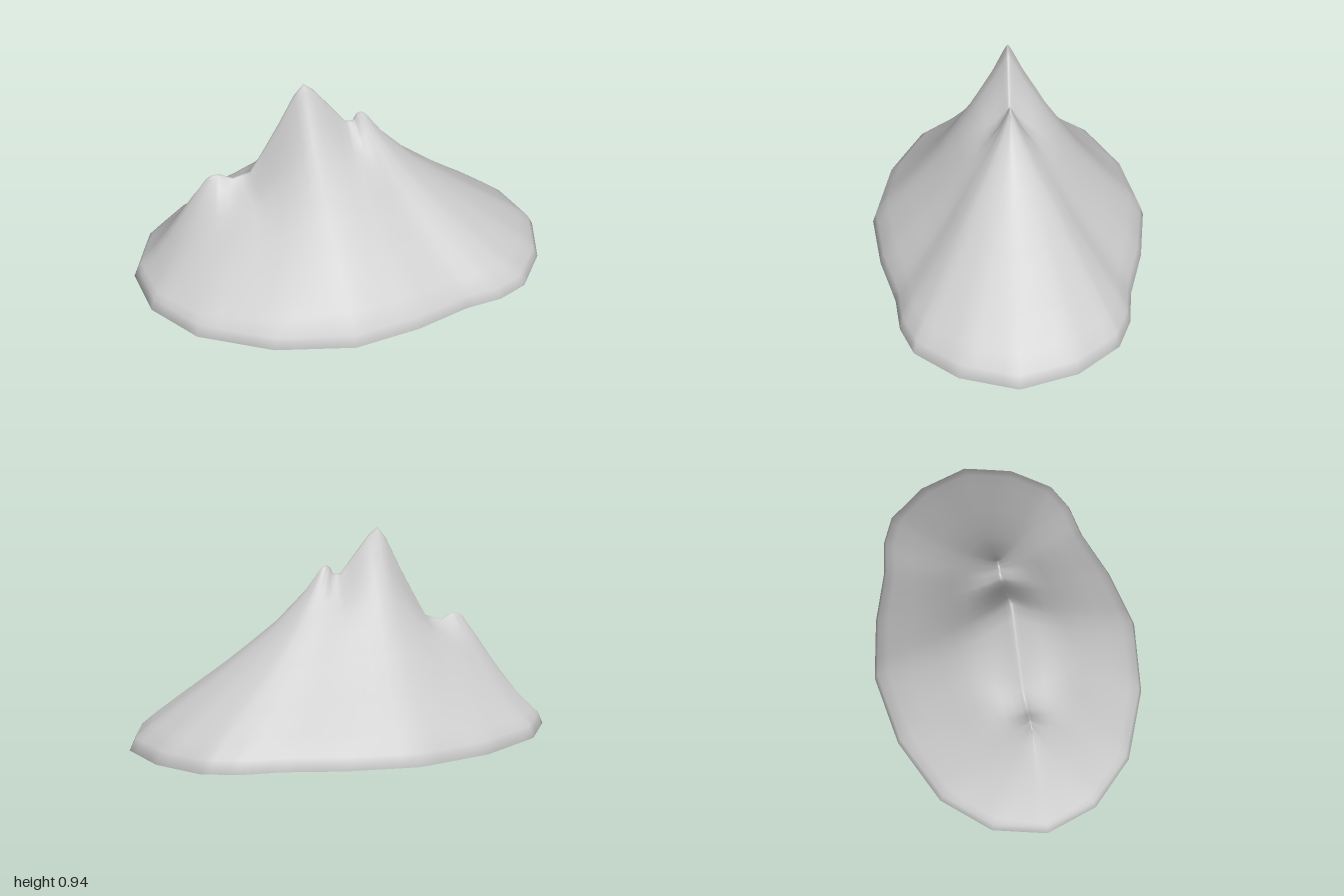
import * as THREE from 'three';
import { mergeVertices } from 'three/addons/utils/BufferGeometryUtils.js';

// Foot outline [x, z], front half from the right end (-x) to the left end (+x)
const FOOT = [[-1, 0], [-0.93, 0.255], [-0.74, 0.47], [-0.42, 0.62], [-0.07, 0.677], [0.23, 0.62],
  [0.48, 0.535], [0.65, 0.507], [0.79, 0.44], [0.93, 0.25], [1, 0]];

// Ridge line [t, x, y]; t counts along the foot outline points
const RIDGE = [[0, -0.61, 0.515], [1, -0.59, 0.523], [2, -0.56, 0.525], [2.5, -0.5, 0.495], [3, -0.42, 0.52],
  [3.4, -0.31, 0.7], [3.75, -0.21, 0.89], [4, -0.165, 0.945], [4.25, -0.12, 0.91], [5, 0.02, 0.735],
  [5.5, 0.055, 0.735], [6, 0.07, 0.765], [7, 0.085, 0.775], [8, 0.1, 0.772], [9, 0.11, 0.765], [10, 0.12, 0.755]];

// Broad shape of the lower slopes [t, x, y], without peaks and saddles
const BROAD = [[0, -0.61, 0.515], [1, -0.57, 0.535], [2, -0.49, 0.59], [3, -0.34, 0.75], [3.6, -0.22, 0.9],
  [4, -0.165, 0.945], [4.4, -0.11, 0.935], [5, -0.04, 0.9], [6, 0.04, 0.84], [7, 0.08, 0.8],
  [8, 0.1, 0.78], [9, 0.11, 0.765], [10, 0.12, 0.755]];

// Slope profile [height fraction, spread at the middle, right end, left end]
const SLOPE = [[0, 1, 1, 1], [0.058, 0.97, 0.94, 0.968], [0.138, 0.88, 0.9, 0.89], [0.254, 0.71, 0.74, 0.75],
  [0.434, 0.49, 0.56, 0.525], [0.56, 0.37, 0.44, 0.38], [0.677, 0.26, 0.33, 0.25], [0.78, 0.175, 0.235, 0.16],
  [0.868, 0.1, 0.14, 0.085], [0.96, 0.035, 0.05, 0.025], [0.99, 0.012, 0.015, 0.008], [1, 0, 0, 0]];

const SUB = 4; // spokes per outline side
const { lerp, clamp, smoothstep } = THREE.MathUtils;

function sample(line, t) {
  let i = 0;
  while (i < line.length - 2 && t > line[i + 1][0]) i++;
  const [t0, x0, y0] = line[i], [t1, x1, y1] = line[i + 1];
  const k = (t - t0) / (t1 - t0);
  return [lerp(x0, x1, k), lerp(y0, y1, k)];
}

function mountainGeometry() {
  const back = FOOT.slice(1, -1).reverse().map(([x, z]) => [x, -z]);
  const outline = [...FOOT, ...back].map(([x, z]) => new THREE.Vector3(x, 0, z));
  const n = outline.length, count = n * SUB;
  const smooth = new THREE.CatmullRomCurve3(outline, true, 'catmullrom', 0.5);
  const rows = SLOPE.length + 2;
  const position = [], index = [];

  for (let s = 0; s < count; s++) {
    const u = s / SUB, i = Math.floor(u);
    const straight = outline[i].clone().lerp(outline[(i + 1) % n], u - i);
    const round = smooth.getPoint(s / count);
    const t = u <= n / 2 ? u : n - u;
    const [rx, ry] = sample(RIDGE, t), [bx, by] = sample(BROAD, t);
    const right = clamp(1 - t / 3, 0, 1), left = clamp((t - 5) / 4, 0, 1);

    // Flat underside: centre and a ring just inside the rim
    position.push(0, 0, 0, straight.x * 0.975, 0, straight.z * 0.975);

    // Slope from the angular foot up to the ridge; peaks and saddles appear only near the top
    SLOPE.forEach(([h, middle, rightEnd, leftEnd], row) => {
      const f = lerp(lerp(middle, rightEnd, right), leftEnd, left);
      const p = straight.clone().lerp(round, clamp((1 - f) * 2, 0, 1));
      const peak = smoothstep(h, 0.5, 1);
      const y = row === 1 ? 0.052 : h * lerp(by, ry, peak);
      position.push(lerp(lerp(bx, rx, peak), p.x, f), y, p.z * f);
    });

    // Faces to the next spoke
    for (let j = 0; j < rows - 1; j++) {
      const p = s * rows + j, q = ((s + 1) % count) * rows + j;
      index.push(p, q, q + 1, p, q + 1, p + 1);
    }
  }

  const geometry = new THREE.BufferGeometry();
  geometry.setAttribute('position', new THREE.Float32BufferAttribute(position, 3));
  geometry.setIndex(index);
  const welded = mergeVertices(geometry, 1e-4);

  // Drop faces that collapse to a line at the centre and along the ridge
  const corners = welded.index.array, kept = [];
  for (let k = 0; k < corners.length; k += 3) {
    const [a, b, c] = corners.slice(k, k + 3);
    if (a !== b && b !== c && c !== a) kept.push(a, b, c);
  }
  welded.setIndex(kept);
  welded.computeVertexNormals();
  return welded;
}

export function createModel() {
  const group = new THREE.Group();
  group.name = 'mountain';
  const rock = new THREE.Mesh(mountainGeometry(), new THREE.MeshStandardMaterial({ color: 0xcccccc }));
  rock.name = 'mountainBody';
  group.add(rock);
  return group;
}
